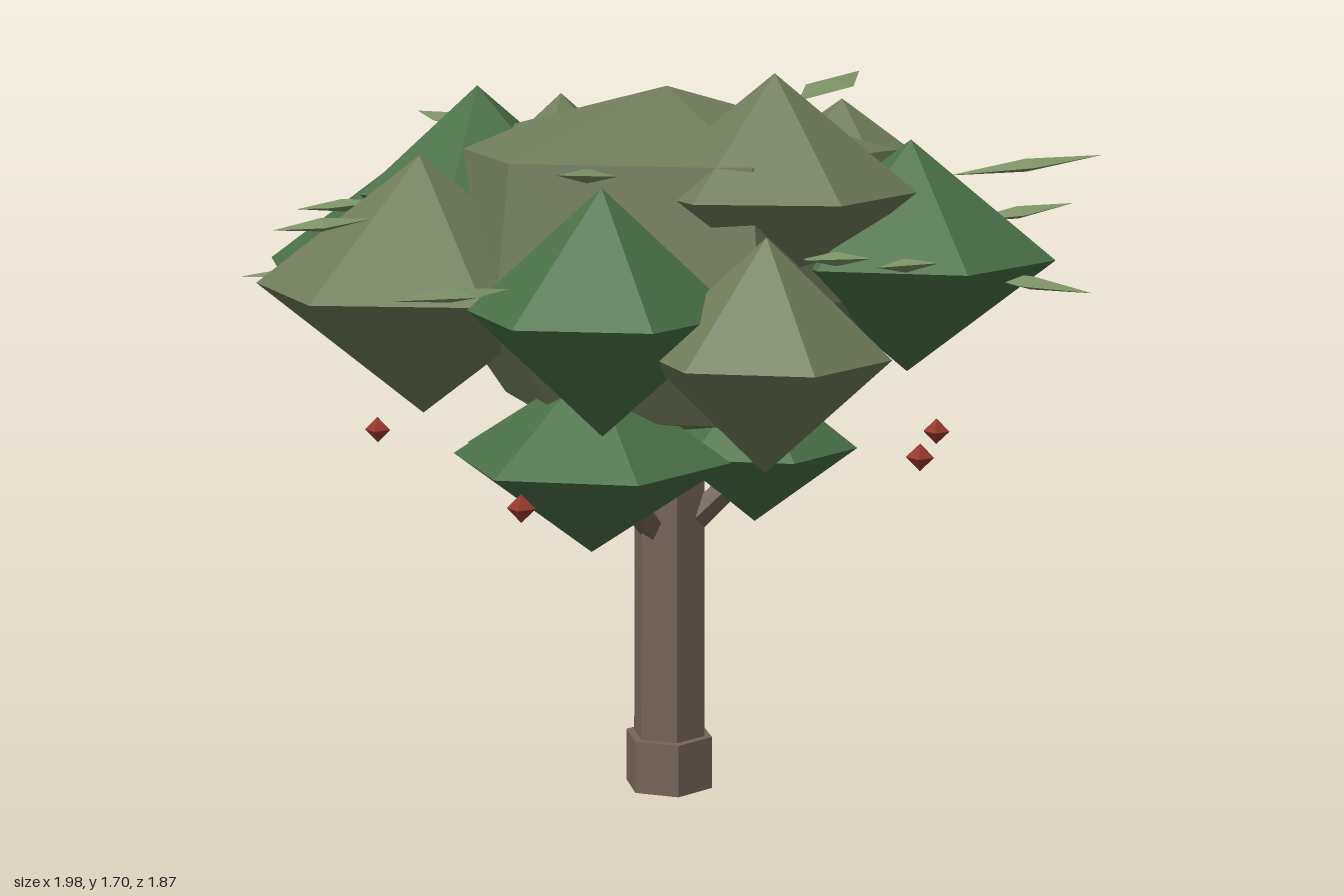
import * as THREE from 'three';

const mat = (color) => new THREE.MeshStandardMaterial({ color, flatShading: true });
const V = (p) => new THREE.Vector3(...p);
const rad = THREE.MathUtils.degToRad;

export function createModel() {
  const tree = new THREE.Group();
  const green = mat(0x4a7048), olive = mat(0x6f7b5a), leafMat = mat(0x7d9266);
  const bark = mat(0x756459), berryMat = mat(0x98382d);

  const add = (name, geometry, material, position, parent = tree) => {
    const mesh = new THREE.Mesh(geometry, material);
    mesh.name = name;
    mesh.position.set(...position);
    parent.add(mesh);
    return mesh;
  };
  const addGroup = (name) => {
    const group = new THREE.Group();
    group.name = name;
    tree.add(group);
    return group;
  };

  // Trunk and its wider foot
  add('trunkBase', new THREE.CylinderGeometry(0.106, 0.106, 0.125, 6), bark, [0.027, 0.0625, -0.048]).rotation.y = rad(22);
  add('trunk', new THREE.CylinderGeometry(0.084, 0.087, 0.95, 6), bark, [0.027, 0.575, -0.05]).rotation.y = rad(22);

  // Branches spreading into the crown
  const branches = addGroup('branches');
  [[0.27, 0.83, -0.04], [-0.1, 0.84, 0.2], [-0.18, 0.82, -0.17], [0.02, 0.9, -0.33]].forEach((end) => {
    const from = V([0.02, 0.58, -0.05]), to = V(end);
    const dir = to.clone().sub(from);
    const mid = from.add(to).multiplyScalar(0.5);
    const branch = add('branch', new THREE.CylinderGeometry(0.025, 0.035, dir.length(), 5), bark, mid.toArray(), branches);
    branch.quaternion.setFromUnitVectors(new THREE.Vector3(0, 1, 0), dir.normalize());
  });

  // Main crown: a faceted dome
  const profile = [[0, 0.85], [0.38, 0.93], [0.57, 1.2], [0.525, 1.51], [0, 1.645]]
    .map(([r, y]) => new THREE.Vector2(r, y));
  add('mainCrown', new THREE.LatheGeometry(profile, 6), olive, [0.02, 0, -0.05]).rotation.y = rad(30);

  // Foliage clumps: six-sided bipyramids [x, y, z, radius, half height, corner angle]
  const clumps = (name, material, list) => {
    const group = addGroup(name);
    list.forEach(([x, y, z, r, h, angle]) => {
      const clump = add('foliageClump', new THREE.SphereGeometry(1, 6, 2), material, [x, y, z], group);
      clump.scale.set(r, h, r);
      clump.rotation.y = -rad(angle);
    });
  };
  clumps('greenClumps', green, [
    [0.58, 1.28, 0.02, 0.325, 0.26, 2],
    [-0.02, 1.21, 0.51, 0.29, 0.265, -2],
    [-0.6, 1.2, -0.22, 0.395, 0.285, 8],
    [0.19, 1.07, -0.645, 0.31, 0.275, -2],
    [-0.42, 1.4, -0.05, 0.28, 0.24, 30],
  ]);
  clumps('lowerClumps', green, [
    [-0.1, 0.84, 0.235, 0.315, 0.215, 0],
    [0.23, 0.83, -0.03, 0.235, 0.18, 0],
    [-0.18, 0.78, -0.18, 0.305, 0.2, 0],
    [-0.05, 0.93, -0.33, 0.255, 0.2, 30],
  ]);
  clumps('oliveClumps', olive, [
    [-0.49, 1.215, 0.21, 0.375, 0.29, -5],
    [0.33, 1.13, 0.52, 0.265, 0.25, 0],
    [0.3, 1.44, 0.2, 0.31, 0.255, -5],
    [0.38, 1.33, -0.38, 0.37, 0.265, 0],
    [-0.315, 1.36, -0.475, 0.27, 0.23, 30],
  ]);

  // Loose leaves: flat diamonds running from root to tip
  const leaves = addGroup('leaves');
  [
    [[-0.2, 1.27, 0.6], [-0.36, 1.29, 0.94]],
    [[-0.03, 1.49, 0.43], [-0.03, 1.53, 0.79]],
    [[0.4, 1.33, 0.47], [0.57, 1.37, 0.73]],
    [[0.52, 1.28, 0.22], [0.68, 1.32, 0.41]],
    [[0.72, 1.25, 0.04], [0.99, 1.225, 0.14]],
    [[0.65, 1.44, -0.18], [0.99, 1.48, -0.31]],
    [[0.66, 1.3, -0.46], [0.92, 1.34, -0.55]],
    [[0.25, 1.57, -0.59], [0.36, 1.62, -0.93]],
    [[-0.06, 1.4, -0.57], [-0.11, 1.37, -0.82]],
    [[-0.35, 1.26, -0.62], [-0.54, 1.23, -0.84]],
    [[-0.66, 1.22, -0.04], [-0.96, 1.2, 0.05]],
    [[-0.63, 1.37, -0.05], [-0.87, 1.34, -0.1]],
    [[-0.56, 1.38, 0.36], [-0.76, 1.36, 0.44]],
    [[-0.45, 1.52, -0.32], [-0.68, 1.54, -0.5]],
  ].forEach(([root, tip]) => {
    const a = V(root), b = V(tip);
    const leaf = add('leaf', new THREE.OctahedronGeometry(1), leafMat, a.clone().add(b).multiplyScalar(0.5).toArray(), leaves);
    leaf.scale.set(0.065, 0.015, a.distanceTo(b) / 2);
    leaf.lookAt(b);
  });

  // Berries hanging below the crown
  const berries = addGroup('berries');
  [
    [0.63, 0.865, 0.22], [-0.165, 0.815, 0.655], [0.62, 0.815, -0.335],
    [-0.69, 0.815, -0.12], [-0.12, 0.83, -0.65],
  ].forEach((p) => add('berry', new THREE.OctahedronGeometry(0.031), berryMat, p, berries));

  return tree;
}
